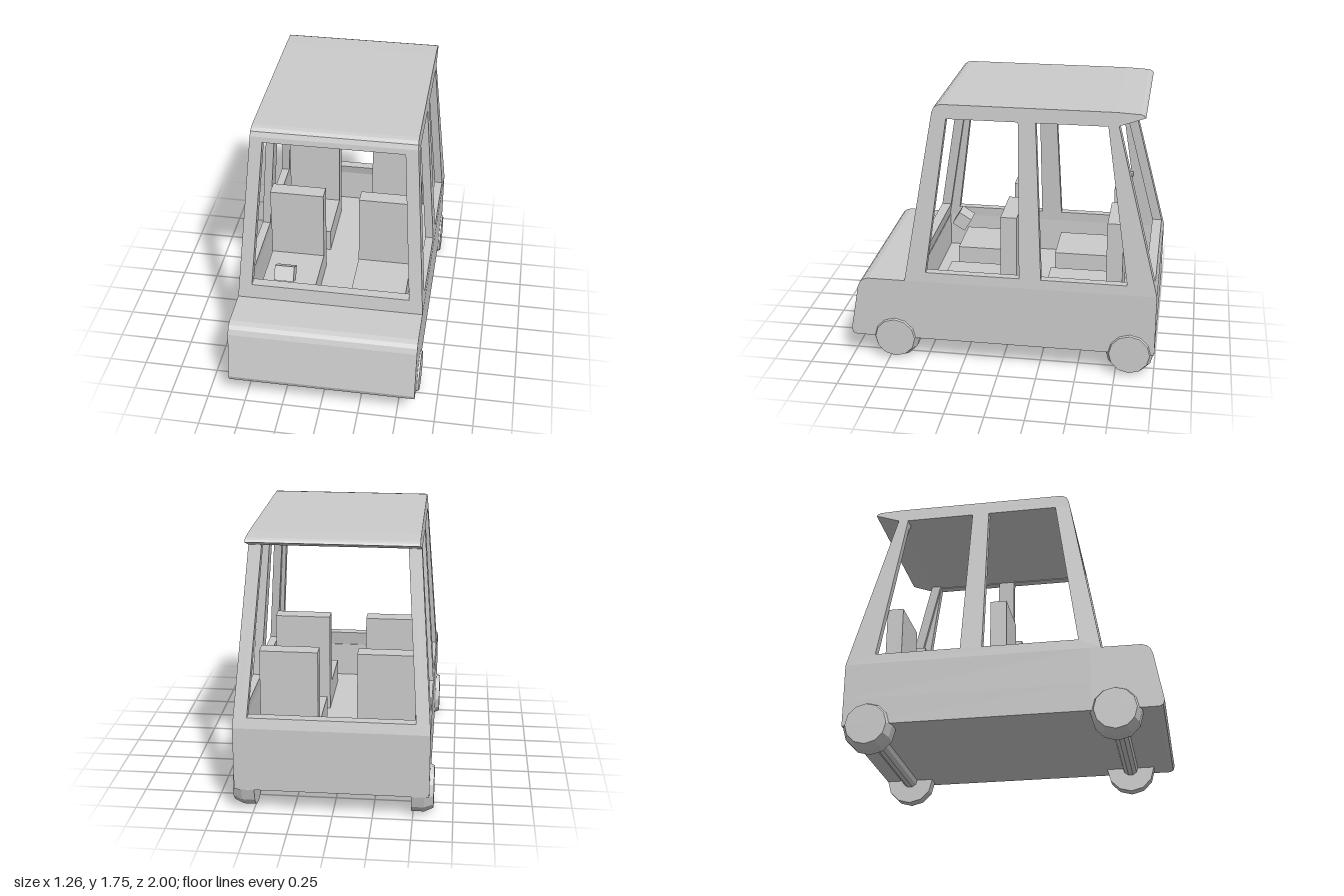
import * as THREE from 'three';

const material = new THREE.MeshStandardMaterial({ color: 0xcccccc, flatShading: true });
const BELT = 0.575, ROOF = 1.665, WALL = 0.055;

// Half width of the cabin, narrowing above the belt line
const half = (y) => 0.608 - Math.max(0, y - BELT) * 0.077;
// Slope of the windscreen and of the tailgate
const frontZ = (y) => 0.63 - (y - BELT) * 0.169;
const rearZ = (y) => -1 + (y - BELT) * 0.257;

function add(parent, name, geometry) {
  const mesh = new THREE.Mesh(geometry, material);
  mesh.name = name;
  parent.add(mesh);
  return mesh;
}

// Box given by its minimum and maximum on each axis
function box(parent, name, [x0, x1], [y0, y1], [z0, z1]) {
  const mesh = add(parent, name, new THREE.BoxGeometry(x1 - x0, y1 - y0, z1 - z0));
  mesh.position.set((x0 + x1) / 2, (y0 + y1) / 2, (z0 + z1) / 2);
  return mesh;
}

// Extrude an outline with holes by one unit, then move each point by a rule
function warped(outline, holes, rule) {
  const toPoints = (list) => list.map(([a, b]) => new THREE.Vector2(a, b));
  const shape = new THREE.Shape(toPoints(outline));
  for (const hole of holes) shape.holes.push(new THREE.Path(toPoints(hole)));
  const geometry = new THREE.ExtrudeGeometry(shape, { depth: 1, bevelEnabled: false });
  const p = geometry.attributes.position;
  for (let i = 0; i < p.count; i++) p.setXYZ(i, ...rule(p.getX(i), p.getY(i), p.getZ(i)));
  geometry.computeVertexNormals();
  return geometry;
}

// Side profile (z, y) stretched over the full width
const acrossWidth = (z, y, u) => [half(y) * (1 - 2 * u), y, z];

export function createModel() {
  const model = new THREE.Group();
  model.name = 'car';
  const body = new THREE.Group();
  body.name = 'body';
  body.position.x = 0.007;
  model.add(body);

  // Nose and bonnet
  add(body, 'bonnet', warped([
    [0.56, 0.16], [0.965, 0.16], [0.99, 0.17], [1, 0.2], [0.945, 0.51], [0.93, 0.545],
    [0.91, 0.565], [0.875, BELT], [0.56, BELT],
  ], [], acrossWidth));

  // Open tub: floor, side walls and tail
  const w = half(0);
  box(body, 'floor', [-w, w], [0.16, 0.34], [-1, 0.56]);
  box(body, 'tailWall', [-w + WALL, w - WALL], [0.34, BELT], [-1, -1 + WALL]);
  for (const s of [-1, 1]) {
    const inner = s * (w - WALL), outer = s * w;
    box(body, 'sideWall', [Math.min(inner, outer), Math.max(inner, outer)], [0.34, BELT], [-1, 0.56]);

    // Leaning side frame with front and rear window openings
    add(body, 'sideFrame', warped(
      [[rearZ(BELT), BELT], [frontZ(BELT), BELT], [frontZ(ROOF), ROOF], [rearZ(ROOF), ROOF]],
      [
        [[0.49, 0.64], [0.35, 1.66], [-0.1, 1.66], [-0.12, 0.64]],
        [[-0.26, 0.64], [-0.21, 1.66], [-0.655, 1.66], [-0.81, 0.64]],
      ],
      (z, y, u) => [s * half(y) - (s > 0 ? u : u - 1) * WALL, y, z]));
  }

  // Windscreen and tailgate frames, open under the roof
  const frame = (name, sill, zRule) => {
    const right = [[half(BELT) - WALL, BELT], [half(ROOF) - WALL, ROOF],
      [half(ROOF) - 0.08, ROOF], [half(sill) - 0.085, sill]];
    const left = right.map(([x, y]) => [-x, y]).reverse();
    add(body, name, warped([...right, ...left], [], (x, y, u) => [x, y, zRule(y, u)]));
  };
  frame('windscreenFrame', 0.67, (y, u) => frontZ(y) + (u - 1) * 0.065);
  frame('tailgateFrame', 0.64, (y, u) => rearZ(y) + u * 0.065);

  // Roof with rounded front edge and rear spoiler
  add(body, 'roof', warped([
    [-0.72, ROOF], [frontZ(ROOF), ROOF], [0.44, 1.7], [0.427, 1.73], [0.405, 1.745], [0.375, 1.75],
    [-0.7, 1.75], [-0.85, 1.743], [-0.87, 1.735], [-0.88, 1.722],
  ], [], acrossWidth));

  // Four seats
  for (const [x0, x1] of [[-0.5, -0.135], [0.11, 0.475]]) {
    for (const z of [-0.03, -0.715]) {
      const seat = new THREE.Group();
      seat.name = 'seat';
      model.add(seat);
      box(seat, 'backrest', [x0, x1], [0.34, 1], [z - 0.055, z + 0.05]);
      box(seat, 'cushion', [x0, x1], [0.34, 0.5], [z + 0.05, z + 0.45]);
    }
  }

  // Tilted instrument box ahead of the right front seat
  const panel = box(model, 'instrumentBox', [-0.39, -0.26], [0.59, 0.69], [0.37, 0.47]);
  panel.rotation.x = -0.55;

  // Axles and chamfered wheels
  const tyre = [[0, 0.49], [0.158, 0.49], [0.158, 0.57], [0.132, 0.628], [0, 0.628]];
  for (const z of [0.705, -0.84]) {
    const axle = add(model, 'axle', new THREE.CylinderGeometry(0.05, 0.05, 1, 10));
    axle.rotation.z = Math.PI / 2;
    axle.position.set(0, 0.16, z);
    for (const s of [-1, 1]) {
      const points = tyre.map(([r, x]) => new THREE.Vector2(r, x));
      const wheel = add(model, 'wheel', new THREE.LatheGeometry(points, 12));
      wheel.rotation.z = -s * Math.PI / 2;
      wheel.position.set(0, 0.158, z);
    }
  }
  return model;
}
